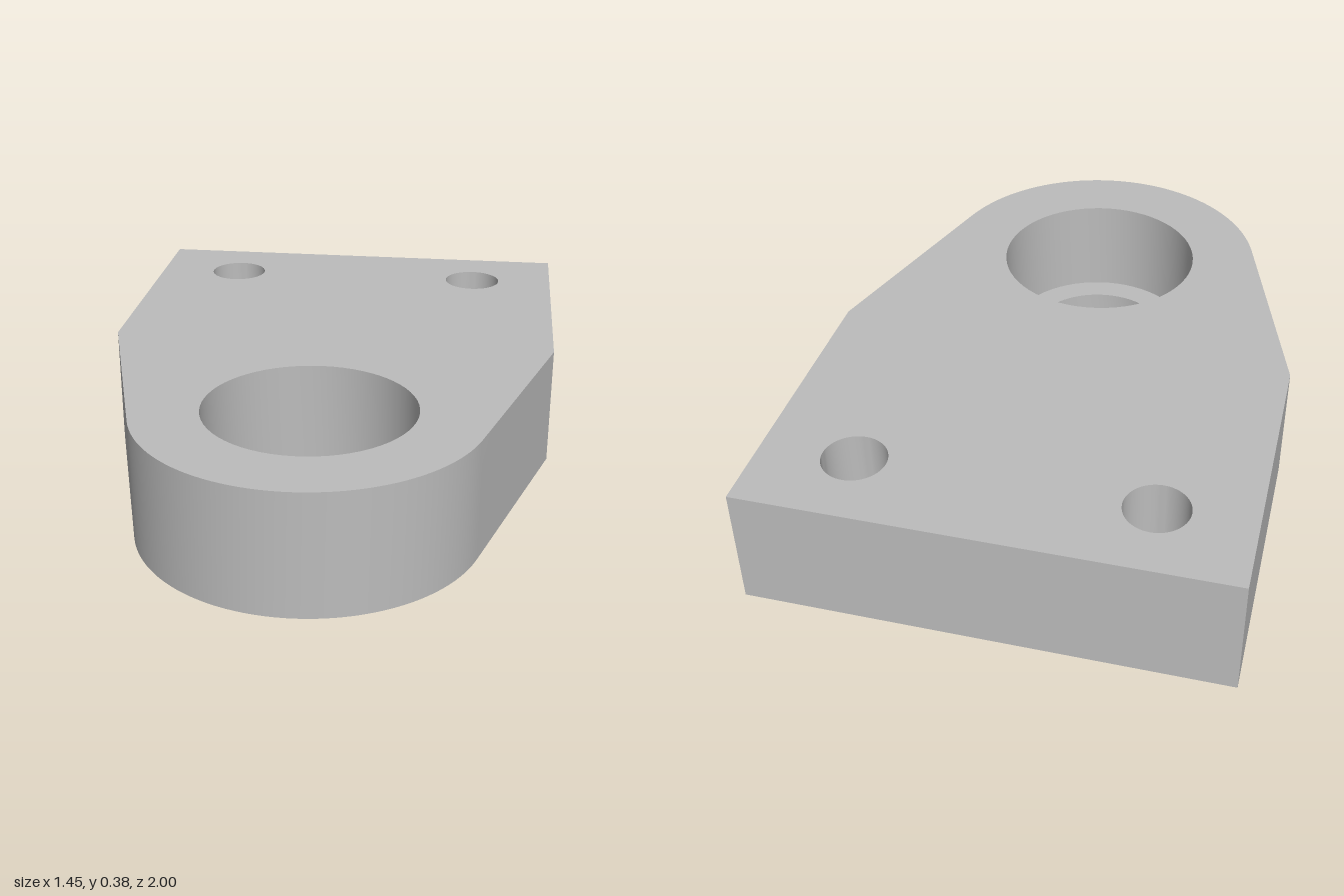
import * as THREE from 'three';
import { toCreasedNormals } from 'three/addons/utils/BufferGeometryUtils.js';

const HEIGHT = 0.385, HALF_W = 0.725, BACK_Z = -1, BEND_Z = -0.07;
const NOSE = { z: 0.465, r: 0.535 };
const CREASE = 0.2;

// Stepped holes: each profile runs from the top face down to the bottom face
const bore = { name: 'mainBore', x: 0, z: NOSE.z,
  profile: [[0.325, HEIGHT], [0.325, 0.06], [0.24, 0.06], [0.24, 0]] };
const boltHoles = [-1, 1].map(s => ({
  name: s > 0 ? 'leftBoltHole' : 'rightBoltHole', x: s * 0.44, z: -0.76,
  profile: [[0.097, HEIGHT], [0.097, 0.2], [0.154, 0.2], [0.154, 0]],
}));
const holes = [bore, ...boltHoles];

// Plan outline [x, z]: square back, tapered sides tangent to a round nose
function outline() {
  const dx = HALF_W, dz = BEND_Z - NOSE.z;
  const a = Math.atan2(dz, dx) + Math.acos(NOSE.r / Math.hypot(dx, dz));
  const pts = [[-HALF_W, BACK_Z], [-HALF_W, BEND_Z]];
  const n = 48;
  for (let i = 0; i <= n; i++) {
    const t = Math.PI - a - (i / n) * (Math.PI - 2 * a);
    pts.push([NOSE.r * Math.cos(t), NOSE.z + NOSE.r * Math.sin(t)]);
  }
  pts.push([HALF_W, BEND_Z], [HALF_W, BACK_Z]);
  return pts;
}

// Flat face with holes; side is 1 for the top and -1 for the bottom
function faceGeometry(pts, side) {
  const shape = new THREE.Shape(pts.map(([x, z]) => new THREE.Vector2(x, -side * z)));
  for (const h of holes) {
    const r = h.profile[side > 0 ? 0 : h.profile.length - 1][0];
    shape.holes.push(new THREE.Path().absarc(h.x, -side * h.z, r, 0, Math.PI * 2));
  }
  return new THREE.ShapeGeometry(shape, 32)
    .rotateX(-side * Math.PI / 2)
    .translate(0, side > 0 ? HEIGHT : 0, 0);
}

// Strip wrapped round the closed outline
function wallGeometry(pts) {
  const loop = [...pts, pts[0]];
  const geo = new THREE.PlaneGeometry(1, 1, loop.length - 1, 1);
  const pos = geo.attributes.position;
  for (let i = 0; i < pos.count; i++) {
    const [x, z] = loop[i % loop.length];
    pos.setXYZ(i, x, i < loop.length ? HEIGHT : 0, z);
  }
  return toCreasedNormals(geo, CREASE);
}

export function createModel() {
  const model = new THREE.Group();
  model.name = 'mountingPlate';
  const metal = new THREE.MeshStandardMaterial({ color: 0xbcbcbc });
  metal.name = 'plain grey';

  const add = (name, geo) => {
    const mesh = new THREE.Mesh(geo, metal);
    mesh.name = name;
    model.add(mesh);
    return mesh;
  };

  const pts = outline();
  add('topFace', faceGeometry(pts, 1));
  add('bottomFace', faceGeometry(pts, -1));
  add('outerWall', wallGeometry(pts));

  // Inner surfaces of the bore and the counterbored bolt holes
  for (const h of holes) {
    const lathe = new THREE.LatheGeometry(h.profile.map(p => new THREE.Vector2(...p)), 64);
    add(h.name, toCreasedNormals(lathe, CREASE)).position.set(h.x, 0, h.z);
  }
  return model;
}
